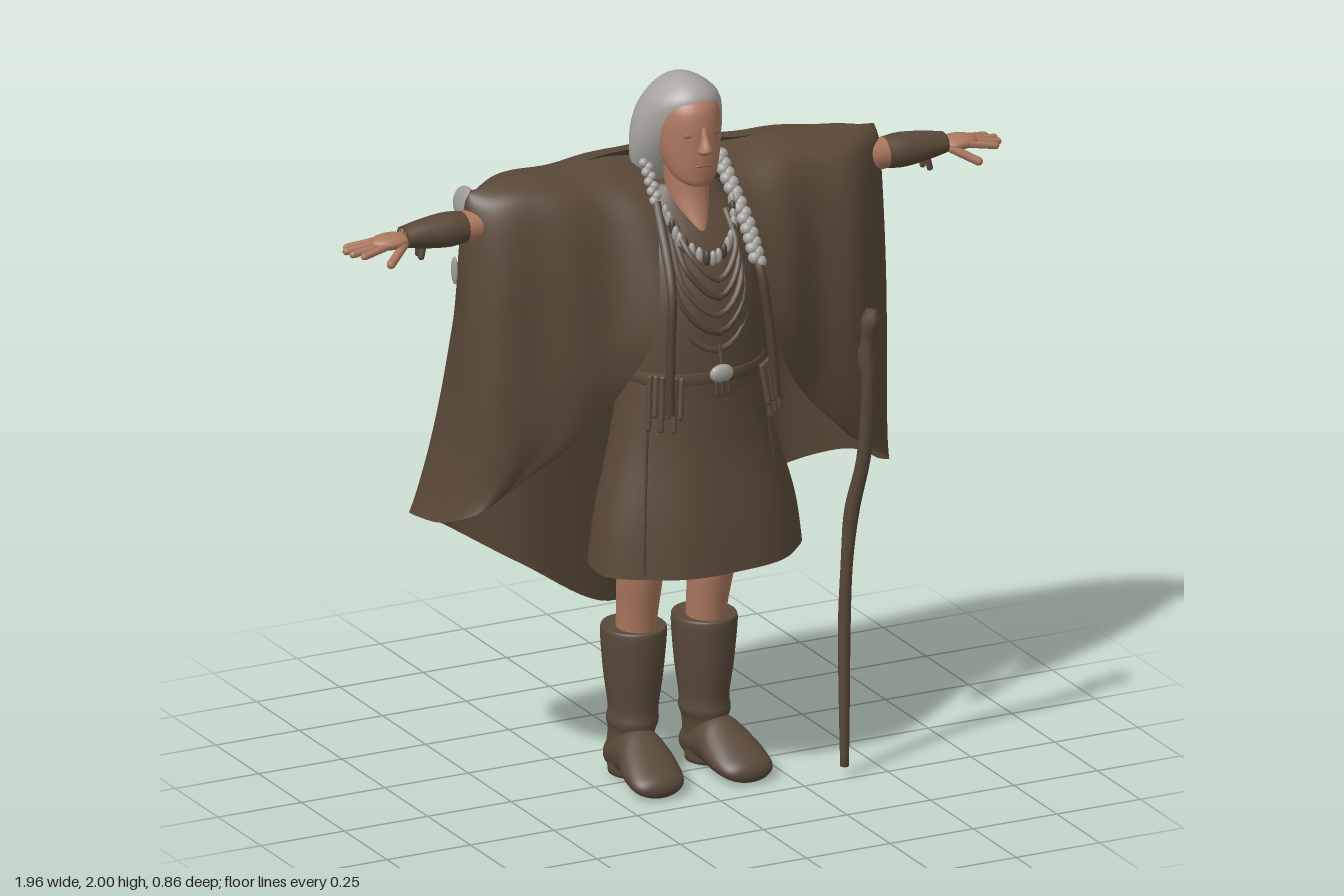
import * as THREE from 'three';

const mat = (name, color, side = THREE.FrontSide) => {
  const m = new THREE.MeshStandardMaterial({ color, side });
  m.name = name;
  return m;
};
const V = (p) => new THREE.Vector3(...p);

// Catmull-Rom blend through rows of numbers, t from 0 to 1
function blend(rows, t) {
  const n = rows.length - 1, i = Math.min(Math.floor(t * n), n - 1), f = t * n - i;
  const [a, b, c, d] = [-1, 0, 1, 2].map((k) => rows[Math.min(Math.max(i + k, 0), n)]);
  return b.map((_, j) => b[j] + 0.5 * f * (c[j] - a[j]
    + f * (2 * a[j] - 5 * b[j] + 4 * c[j] - d[j] + f * (3 * (b[j] - c[j]) + d[j] - a[j]))));
}

function surface(pos, idx) {
  const g = new THREE.BufferGeometry();
  g.setAttribute('position', new THREE.Float32BufferAttribute(pos, 3));
  g.setIndex(idx);
  g.computeVertexNormals();
  return g;
}

// Body of elliptical sections [y, rx, rz, cx, cz, ripple], listed bottom to top
function loft(sections, { seg = 28, steps = 24, cap = true } = {}) {
  const pos = [], idx = [], rows = sections.map((s) => [...s, 0].slice(0, 6));
  for (let i = 0; i <= steps; i++) {
    const [y, rx, rz, cx, cz, rip] = blend(rows, i / steps);
    for (let j = 0; j < seg; j++) {
      const a = (j / seg) * Math.PI * 2, k = 1 + rip * Math.sin(7 * a + 1);
      pos.push(cx + rx * k * Math.cos(a), y, cz + rz * k * Math.sin(a));
      if (i === steps) continue;
      const p = i * seg + j, q = i * seg + ((j + 1) % seg);
      idx.push(p, p + seg, q, q, p + seg, q + seg);
    }
  }
  if (cap) {
    const c = pos.length / 3, top = steps * seg;
    for (const s of [rows[0], rows[rows.length - 1]]) pos.push(s[3], s[0], s[4]);
    for (let j = 0; j < seg; j++) {
      const k = (j + 1) % seg;
      idx.push(c, j, k, c + 1, top + k, top + j);
    }
  }
  return surface(pos, idx);
}

// Half of the cloak from front edge to back centre; rows run shoulder ridge to hem
const CLOAK = [
  [[.06, 1.755, -.06], [.26, 1.76, -.05], [.48, 1.75, -.04], [.605, 1.74, -.035], [.48, 1.75, -.04], [.26, 1.76, -.05], [0, 1.775, -.07]],
  [[.11, 1.685, .08], [.29, 1.7, .065], [.5, 1.705, .045], [.62, 1.69, -.035], [.51, 1.72, -.12], [.28, 1.73, -.15], [0, 1.74, -.16]],
  [[.14, 1.56, .155], [.31, 1.55, .12], [.52, 1.55, .08], [.625, 1.55, -.03], [.54, 1.55, -.17], [.29, 1.55, -.23], [0, 1.55, -.24]],
  [[.175, 1.34, .2], [.34, 1.3, .14], [.53, 1.3, .09], [.62, 1.3, 0], [.56, 1.3, -.19], [.3, 1.27, -.26], [0, 1.25, -.27]],
  [[.28, 1.11, .14], [.42, 1.05, .11], [.55, 1.0, .085], [.62, 1.0, 0], [.59, .98, -.23], [.32, .92, -.32], [0, .85, -.32]],
  [[.47, .91, .08], [.54, .86, .07], [.61, .81, .04], [.65, .76, -.08], [.62, .71, -.28], [.31, .53, -.37], [0, .38, -.37]],
];
// Depth of the back folds at the hem, from right to left
const FOLDS = [[0], [-.055], [.07], [.05], [-.015], [-.005], [-.1], [0]];

function cloakGeometry(nu = 120, nv = 48) {
  const pos = [], idx = [], w = nu + 1;
  const rows = CLOAK.map((r) => r.flat());
  for (let i = 0; i <= nv; i++) {
    const v = i / nv, flat = blend(rows, v), half = [];
    for (let k = 0; k < 21; k += 3) half.push(flat.slice(k, k + 3));
    const ring = [...half, ...half.slice(0, 6).reverse().map(([x, y, z]) => [-x, y, z])];
    for (let j = 0; j <= nu; j++) {
      let [x, y, z] = blend(ring, j / nu);
      const back = THREE.MathUtils.smoothstep(-z, 0.05, 0.25);
      z += back * v * blend(FOLDS, THREE.MathUtils.clamp((x + 0.7) / 1.4, 0, 1))[0];
      z += (1 - back) * 0.008 * Math.sin(x * 30) * Math.sin(Math.PI * v);
      y += (0.004 * Math.sin(x * 24) - 0.015 * x) * (1 - v);
      if (x < 0) { x *= 1 + 0.04 * v ** 4; y += 0.04 * v ** 4 * Math.min(1, -x * 2); }
      pos.push(x, y, z);
      if (i < nv && j < nu) {
        const p = i * w + j;
        idx.push(p, p + 1, p + w, p + 1, p + w + 1, p + w);
      }
    }
  }
  return surface(pos, idx);
}

export function createModel() {
  const model = new THREE.Group();
  const cloth = mat('brown cloth', 0x594838, THREE.DoubleSide);
  const leather = mat('boot leather', 0x59493a);
  const dark = mat('dark cord', 0x4e3e31);
  const skin = mat('skin', 0xac785f);
  const lip = mat('shaded skin', 0x9c6752);
  const grey = mat('grey hair', 0xa8a5a0);
  const bead = mat('pale beads', 0xa09d98);

  const add = (name, geo, m, parent = model) => {
    const mesh = new THREE.Mesh(geo, m);
    mesh.name = name;
    parent.add(mesh);
    return mesh;
  };
  const ball = (name, p, r, m, scale = [1, 1, 1], parent = model) => {
    const b = add(name, new THREE.SphereGeometry(r, 14, 10), m, parent);
    b.position.set(...p);
    b.scale.set(...scale);
    return b;
  };
  const rod = (name, a, b, r, m) => {
    const d = V(b).sub(V(a));
    const mesh = add(name, new THREE.CapsuleGeometry(r, d.length(), 4, 8), m);
    mesh.position.copy(V(a)).addScaledVector(d, 0.5);
    mesh.quaternion.setFromUnitVectors(new THREE.Vector3(0, 1, 0), d.normalize());
  };
  const curve = (pts) => new THREE.CatmullRomCurve3(pts.map(V));
  const cord = (name, pts, r, m) => add(name, new THREE.TubeGeometry(curve(pts), 24, r, 6), m);

  // Clothing
  add('cloak', cloakGeometry(), cloth);
  add('tunic', loft([[1.1, .2, .15, 0, .08], [1.25, .2, .155, 0, .08], [1.42, .19, .15, 0, .075],
    [1.56, .18, .115, 0, .05], [1.65, .13, .08, 0, .015], [1.7, .08, .06, 0, 0]]), cloth);
  add('skirt', loft([[.655, .305, .188, .005, .087, .02], [.8, .285, .178, .005, .085, .015],
    [1.0, .235, .158, 0, .08, .008], [1.2, .2, .15, 0, .08, 0]], { seg: 56, cap: false }), cloth);
  add('belt', loft([[1.18, .202, .152, 0, .08], [1.2, .206, .157, 0, .08], [1.22, .202, .155, 0, .08]], { steps: 6 }), cloth);

  // Head
  const head = new THREE.Group();
  head.name = 'head';
  model.add(head);
  add('neck', loft([[1.58, .03, .045, 0, .105], [1.64, .052, .058, 0, .065], [1.7, .06, .055, 0, .05], [1.8, .065, .06, 0, .04]]), skin, head);
  add('face', loft([[1.716, .032, .025, 0, .12], [1.735, .058, .055, 0, .096], [1.78, .077, .088, 0, .068], [1.83, .086, .1, 0, .056],
    [1.89, .087, .105, 0, .05], [1.94, .072, .089, 0, .05], [1.975, .03, .04, 0, .04]]), skin, head);
  add('hair', loft([[1.68, .085, .045, 0, -.045], [1.73, .117, .065, 0, -.035], [1.8, .13, .09, 0, -.02], [1.88, .12, .113, 0, -.002],
    [1.945, .094, .105, 0, .025], [1.985, .05, .066, 0, .03], [2.0, .012, .016, 0, .03]]), grey, head);
  // Low nose blended into the face
  add('nose', loft([[1.808, .012, .01, 0, .155], [1.818, .021, .024, 0, .158], [1.83, .017, .024, 0, .159], [1.855, .011, .016, 0, .154],
    [1.885, .01, .008, 0, .148]], { seg: 14 }), skin, head);
  ball('mouth', [0, 1.776, .15], .024, lip, [1.1, .25, .28], head);
  // Shaded eyelids lying flush with the face
  for (const s of [-1, 1]) ball('eyelid', [s * .038, 1.862, .1445], .018, lip, [1.1, .4, .12], head).rotation.y = s * .32;

  for (const s of [-1, 1]) {
    const side = s > 0 ? 'left' : 'right';
    // Braid: staggered lumps, then a wrapped end
    const path = curve([[s * .108, 1.76, .02], [s * .114, 1.68, .09], [s * .125, 1.59, .162], [s * .132, 1.5, .21]]);
    const n = s > 0 ? 24 : 9, r = s > 0 ? .018 : .013;
    for (let i = 0; i < n; i++) {
      const p = path.getPoint(i / 23);
      p.x += (i % 2 - .5) * .012;
      ball(side + 'Braid', p.toArray(), r, grey);
    }
    cord(side + 'BraidWrap', [path.getPoint(s > 0 ? .97 : .36).toArray(), [s * .135, 1.47, .225], [s * .15, 1.3, .25], [s * .16, 1.13, .265]], .014, dark);
    // Tassels at the waist
    for (let i = 0; i < 6; i++) {
      const x = s * (.12 + i * .013);
      rod(side + 'Tassel', [x, 1.22, .255 - i * .012], [x + s * .012, 1.12 - (i % 2) * .04, .27 - i * .012], .008, cloth);
    }
    // Trim down the tunic tails
    cord(side + 'Trim', [[s * .17, 1.17, .16], [s * .19, .95, .185], [s * .205, .8, .207], [s * .215, .67, .222]], .004, dark);

    // Arm, cuff and hand
    const arm = (name, sections, m) => {
      const g = loft(sections);
      g.rotateZ(-s * Math.PI / 2);
      add(side + name, g, m).position.y = 1.65;
    };
    arm('Arm', [[.45, .05, .05, 0, -.025], [.62, .043, .045, 0, -.027], [.7, .035, .04, 0, -.027], [.81, .022, .028, 0, -.027]], skin);
    arm('Cuff', [[.63, .042, .045, 0, -.027], [.68, .047, .049, 0, -.027], [.75, .04, .043, 0, -.027], [.81, .028, .036, 0, -.027]], cloth);
    for (const z of [-.045, -.015])
      rod(side + 'CuffFringe', [s * .755, 1.62, z], [s * (.765 + z * .2), 1.59, z], .009, cloth);
    ball(side + 'Palm', [s * .848, 1.645, -.027], .05, skin, [1.2, .42, .85]);
    [[.965, -.072], [.98, -.045], [.975, -.015], [.955, .012]].forEach(([x, z], i) =>
      rod(side + 'Finger', [s * .87, 1.643, -.055 + i * .019], [s * (x - .01), 1.63, z], .0105, skin));
    rod(side + 'Thumb', [s * .82, 1.638, 0], [s * .88, 1.605, .04], .012, skin);

    // Leg and boot
    add(side + 'Leg', loft([[.36, .05, .06, s * .105, -.05], [.47, .054, .065, s * .105, -.035], [.58, .06, .075, s * .108, -.015],
      [.7, .065, .085, s * .11, 0], [.95, .08, .1, s * .1, .04]]), skin);
    add(side + 'BootShaft', loft([[.008, .055, .065, s * .115, -.06], [.07, .06, .07, s * .115, -.06], [.13, .06, .074, s * .11, -.058],
      [.16, .068, .079, s * .108, -.056], [.2, .066, .077, s * .106, -.056], [.3, .079, .09, s * .106, -.055],
      [.415, .088, .096, s * .106, -.053], [.425, .077, .085, s * .106, -.053]], { steps: 32 }), leather);
    const foot = loft([[-.13, .03, .025, s * .112, -.04], [-.1, .06, .055, s * .114, -.06], [0, .066, .073, s * .118, -.08],
      [.07, .08, .058, s * .125, -.064], [.14, .077, .038, s * .132, -.044], [.172, .055, .026, s * .134, -.036], [.184, .015, .008, s * .135, -.034]]);
    foot.rotateX(Math.PI / 2);
    add(side + 'Foot', foot, leather);
  }

  // Necklaces: pale bead collar, hanging cords and a pendant
  const collar = curve([[-.1, 1.65, .12], [-.075, 1.575, .17], [0, 1.53, .205], [.075, 1.575, .17], [.1, 1.65, .12]]);
  for (let i = 0; i <= 18; i++)
    ball('collarBead', collar.getPoint(i / 18).toArray(), .014, i % 3 === 2 ? dark : bead, [.7, 1.6, .8]);
  for (let i = 0; i < 5; i++) {
    const y = 1.48 - i * .05, w = .08 + i * .008;
    cord('necklaceCord', [[-w, 1.63, .12], [-w * .85, y + .07, .205], [0, y, .24], [w * .85, y + .07, .205], [w, 1.63, .12]], .009, i % 2 ? dark : cloth);
  }
  cord('pendantCord', [[0, 1.3, .24], [0, 1.25, .255]], .006, dark);
  ball('pendant', [0, 1.22, .255], .032, bead, [1.1, .8, .5]);
  for (let i = -1; i <= 1; i++) rod('pendantDrop', [i * .018, 1.2, .26], [i * .02, 1.165, .265], .006, dark);

  // Pale lining showing on the right sleeve
  ball('sleeveLining', [-.6, 1.695, -.075], .062, bead, [.3, .75, .95]).rotation.z = -.2;
  ball('sleeveLiningEdge', [-.618, 1.5, -.1], .03, bead, [.25, 1.3, .5]);

  // Walking staff: gnarled head, slender bent shaft
  const staff = loft([[.035, .012, .012, .38, .232], [.24, .015, .016, .375, .24], [.44, .017, .018, .37, .25], [.62, .016, .018, .368, .268],
    [.78, .02, .023, .372, .29], [.93, .019, .02, .385, .33], [1.08, .021, .022, .385, .36], [1.18, .018, .02, .375, .38],
    [1.24, .024, .027, .372, .375], [1.3, .018, .02, .37, .388], [1.35, .024, .03, .372, .397], [1.385, .014, .018, .372, .402]], { seg: 10, steps: 48 });
  add('staff', staff, leather);
  return model;
}
